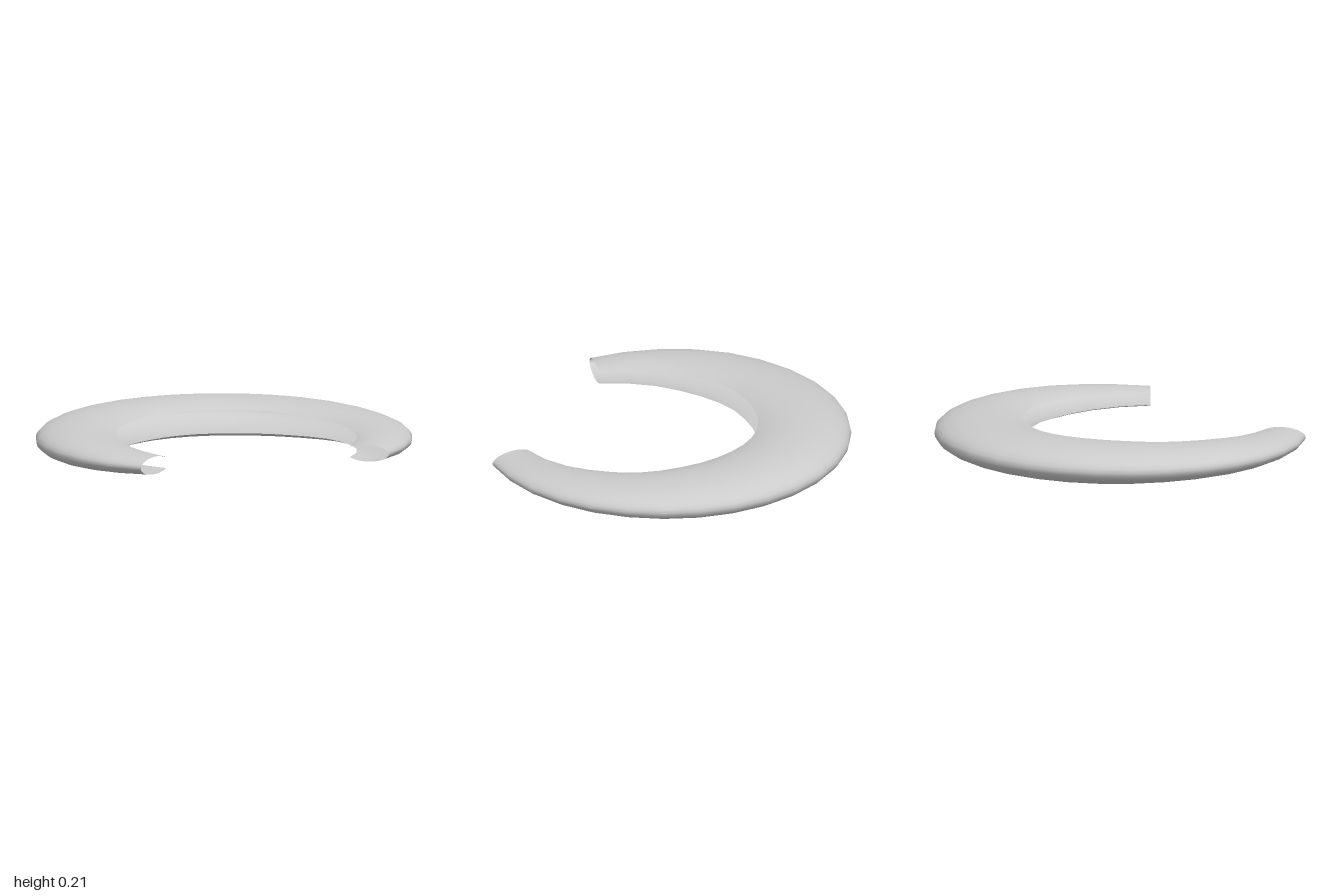
import * as THREE from 'three';

// Inner rim stations from the middle of the back to the arm ends
const innerZ = [-0.36, -0.352, -0.325, -0.28, -0.22, -0.145, -0.055, 0.05, 0.17, 0.3, 0.43, 0.572, 0.71];
const innerRight = [0.008, 0.1, 0.2, 0.3, 0.39, 0.47, 0.545, 0.605, 0.638, 0.65, 0.64, 0.595, 0.512];
const innerLeft = [0.008, -0.085, -0.18, -0.272, -0.36, -0.44, -0.515, -0.567, -0.6, -0.615, -0.61, -0.572, -0.505];

const STEPS = 12; // stations on each arm
const SIDES = 24; // facets around the open section
const SWEEP = THREE.MathUtils.degToRad(142); // half angle of the section, open inward
const MID_Y = 0.103;

// Tapered horseshoe shell: truncated ellipses lofted between the outer and inner rims
function horseshoeShell() {
  const positions = [];
  const index = [];
  for (let i = -STEPS; i <= STEPS; i++) {
    const n = Math.abs(i);
    const angle = THREE.MathUtils.degToRad(11.25 * i);
    const radius = 1 - 0.027 * Math.pow(Math.max(0, n - 8) / 4, 1.5);
    const outer = new THREE.Vector2(radius * Math.sin(angle), 0.15 - radius * Math.cos(angle));
    const inner = new THREE.Vector2(i < 0 ? innerLeft[n] : innerRight[n], innerZ[n]);
    const height = 0.21 * outer.distanceTo(inner);
    for (let j = 0; j <= SIDES; j++) {
      const t = SWEEP * (2 * j / SIDES - 1);
      const across = (1 - Math.cos(t)) / (1 - Math.cos(SWEEP)); // 0 at outer rim, 1 at lip
      const p = outer.clone().lerp(inner, across);
      positions.push(p.x, MID_Y + height * Math.sin(t), p.y);
    }
  }
  const row = SIDES + 1;
  for (let i = 0; i < 2 * STEPS; i++) {
    for (let j = 0; j < SIDES; j++) {
      const a = i * row + j;
      const b = a + row;
      index.push(a, a + 1, b, b, a + 1, b + 1);
    }
  }
  const geometry = new THREE.BufferGeometry();
  geometry.setAttribute('position', new THREE.Float32BufferAttribute(positions, 3));
  geometry.setIndex(index);
  geometry.computeVertexNormals();
  return geometry;
}

export function createModel() {
  const group = new THREE.Group();
  const material = new THREE.MeshStandardMaterial({ color: 0xcccccc, side: THREE.DoubleSide });
  const shell = new THREE.Mesh(horseshoeShell(), material);
  shell.name = 'horseshoeShell';
  group.add(shell);
  return group;
}
